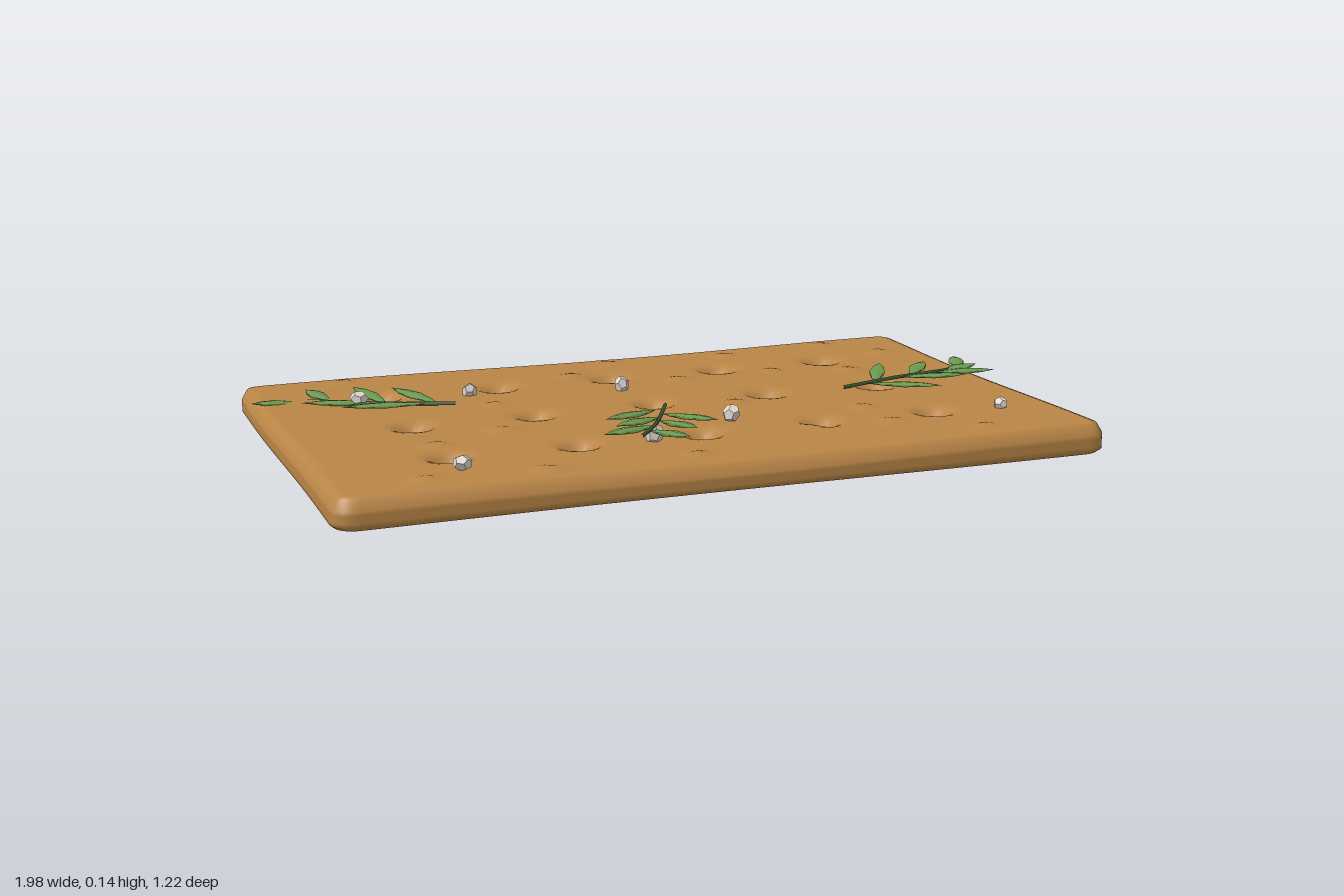
import * as THREE from 'three';
import { mergeVertices } from 'three/addons/utils/BufferGeometryUtils.js';

const material = (name, color, extra = {}) => {
  const m = new THREE.MeshStandardMaterial({ color, ...extra });
  m.name = name;
  return m;
};

const HX = 0.97, HZ = 0.604, CX = -0.01, H = 0.078; // half sizes, centre and height of the slab
const CORNER = 0.05, EDGE = 0.028;

// docking holes in a 5 x 3 grid
const holes = [];
for (const z of [-0.345, -0.015, 0.31])
  for (let i = 0; i < 5; i++) holes.push([-0.65 + i * 0.318, z]);

// shallow blisters
const bumps = [
  [-0.71, -0.53], [-0.11, -0.4], [0.04, -0.52], [0.39, -0.5], [0.7, -0.52], [0.15, -0.25], [0.43, -0.26],
  [0.64, -0.2], [0.82, -0.38], [-0.4, -0.15], [-0.65, 0.2], [-0.46, 0.11], [-0.1, 0.5], [-0.75, 0.5],
  [-0.47, 0.51], [0.18, 0.06], [0.47, 0.22], [0.47, 0.38], [0.66, 0.51], [0.27, 0.34]
];

function topHeight(x, z) {
  let y = H - 0.004 + 0.003 * Math.sin(x * 4 + 1) * Math.cos(z * 5);
  for (const [hx, hz] of holes) {
    const r = Math.hypot(x - hx, z - hz) / 0.045;
    if (r < 3) y -= 0.045 * Math.exp(-r * r * 1.6);
  }
  bumps.forEach(([bx, bz], i) => {
    const r = Math.hypot(x - bx, z - bz) / (0.028 + 0.004 * (i % 3));
    if (r < 3) y += 0.008 * Math.exp(-r * r);
  });
  return y;
}

// hollow slab: a box with no underside, rounded and dented by rule
function slabGeometry() {
  let g = new THREE.BoxGeometry(2 * HX, 1, 2 * HZ, 136, 5, 84);
  const bottom = g.groups[3];
  const index = Array.from(g.index.array);
  index.splice(bottom.start, bottom.count);
  g.setIndex(index);
  g.clearGroups();
  g.deleteAttribute('uv');
  g.deleteAttribute('normal');
  g = mergeVertices(g, 1e-5);
  const p = g.attributes.position;
  for (let i = 0; i < p.count; i++) {
    let x = p.getX(i), z = p.getZ(i);
    const t = p.getY(i) + 0.5;
    const d = Math.min(HX - Math.abs(x), HZ - Math.abs(z));
    // round the upright corners
    const cx = Math.abs(x) - (HX - CORNER), cz = Math.abs(z) - (HZ - CORNER);
    if (cx > 0 && cz > 0) {
      const k = Math.max(cx, cz) / Math.hypot(cx, cz);
      x = Math.sign(x) * (HX - CORNER + cx * k);
      z = Math.sign(z) * (HZ - CORNER + cz * k);
    }
    // round the top edge, tuck in the bottom rim
    const gap = Math.max(0, EDGE - d);
    const drop = EDGE - Math.sqrt(Math.max(0, EDGE * EDGE - gap * gap));
    const rim = 0.003 + 0.003 * Math.sin(x * 3 + z * 4);
    let y = topHeight(x + CX, z) - drop;
    if (t < 0.999) {
      y = rim + (y - rim) * t;
      const inset = 0.01 * Math.max(0, 1 - t * 5);
      x *= 1 - inset / HX;
      z *= 1 - inset / HZ;
    }
    // slightly wavy outline
    p.setXYZ(i, x + CX + 0.003 * Math.sin(z * 6), y, z + 0.004 * Math.sin(x * 3.2 + 2.6) * Math.abs(z) / HZ);
  }
  g.computeVertexNormals();
  return g;
}

// each sprig: stem points, then leaves as base x, z, tip x, z; height(x, z) sets how it lies
const sprigs = [
  {
    name: 'leftSprig',
    stem: [[-0.5, -0.165], [-0.66, -0.25], [-0.84, -0.38]],
    leaves: [
      [-0.54, -0.19, -0.62, -0.36], [-0.56, -0.2, -0.79, -0.21], [-0.66, -0.25, -0.71, -0.42],
      [-0.68, -0.27, -0.87, -0.305], [-0.785, -0.35, -0.83, -0.45], [-0.855, -0.37, -0.99, -0.36]
    ],
    height: (x) => 0.082 + (x + 0.5) * 0.035, lift: 0.014
  },
  {
    name: 'rightSprig',
    stem: [[0.51, 0.02], [0.7, -0.04], [0.83, -0.065], [0.95, -0.09]],
    leaves: [
      [0.59, 0, 0.76, 0.11], [0.62, -0.01, 0.73, -0.2], [0.71, -0.04, 0.89, 0.01], [0.75, -0.055, 0.86, -0.18],
      [0.83, -0.06, 0.99, -0.015], [0.92, -0.09, 0.97, -0.21], [0.86, -0.07, 0.98, -0.1]
    ],
    height: () => 0.081, lift: 0.004
  },
  {
    name: 'frontSprig',
    stem: [[-0.005, 0.045], [-0.085, 0.22], [-0.16, 0.37], [-0.24, 0.5]],
    leaves: [
      [-0.06, 0.12, -0.23, 0.225], [-0.07, 0.19, 0, 0.385], [-0.09, 0.235, -0.245, 0.34],
      [-0.115, 0.29, -0.09, 0.475], [-0.15, 0.36, -0.315, 0.45], [-0.19, 0.42, -0.155, 0.59]
    ],
    height: (x, z) => 0.083 + (z - 0.045) * 0.1, lift: 0.003
  }
];

// unit leaf: a flattened spindle along +y
function leafGeometry() {
  const profile = [[0, 0], [0.55, 0.2], [1, 0.5], [0.75, 0.75], [0, 1]].map(([r, y]) => new THREE.Vector2(r, y));
  return new THREE.LatheGeometry(profile, 6);
}

function makeSprig({ name, stem, leaves, height, lift }, leafGeo, leafMat, stemMat) {
  const sprig = new THREE.Group();
  sprig.name = name;
  const curve = new THREE.CatmullRomCurve3(stem.map(([x, z]) => new THREE.Vector3(x, height(x, z), z)));
  const stemMesh = new THREE.Mesh(new THREE.TubeGeometry(curve, 12, 0.005, 5), stemMat);
  stemMesh.name = 'stem';
  sprig.add(stemMesh);
  const up = new THREE.Vector3(0, 1, 0);
  for (const [x0, z0, x1, z1] of leaves) {
    const base = new THREE.Vector3(x0, height(x0, z0), z0);
    const dir = new THREE.Vector3(x1, height(x1, z1) + lift, z1).sub(base);
    const length = dir.length();
    dir.normalize();
    const side = dir.clone().cross(up).normalize();
    const leaf = new THREE.Mesh(leafGeo, leafMat);
    leaf.name = 'leaf';
    leaf.quaternion.setFromRotationMatrix(new THREE.Matrix4().makeBasis(side, dir, side.clone().cross(dir)));
    leaf.position.copy(base);
    leaf.scale.set(0.024, length, 0.007);
    sprig.add(leaf);
  }
  return sprig;
}

export function createModel() {
  const model = new THREE.Group();
  model.name = 'herbFlatbread';
  const crust = material('baked crust', 0xb98546, { side: THREE.DoubleSide });
  const leafMat = material('leaf green', 0x6c9a52);
  const stemMat = material('stem green', 0x3f5c36);
  const saltMat = material('salt', 0xdcd4cc, { flatShading: true });

  const slab = new THREE.Mesh(slabGeometry(), crust);
  slab.name = 'bread';
  model.add(slab);

  const leafGeo = leafGeometry();
  for (const s of sprigs) model.add(makeSprig(s, leafGeo, leafMat, stemMat));

  // coarse salt crystals: x, y, z, size
  const crystalGeo = new THREE.DodecahedronGeometry(1, 0);
  const crystals = [
    [-0.725, 0.09, -0.28, 0.025], [-0.43, 0.084, -0.28, 0.024], [-0.04, 0.09, -0.185, 0.024],
    [0.097, 0.095, 0.235, 0.026], [-0.15, 0.09, 0.35, 0.026], [-0.65, 0.09, 0.44, 0.026], [0.795, 0.086, 0.35, 0.02]
  ];
  crystals.forEach(([x, y, z, s], i) => {
    const c = new THREE.Mesh(crystalGeo, saltMat);
    c.name = 'saltCrystal';
    c.position.set(x, y, z);
    c.rotation.set(i * 1.3, i * 2.1, i * 0.7);
    c.scale.set(s, s * 0.75, s * 0.9);
    model.add(c);
  });
  return model;
}
